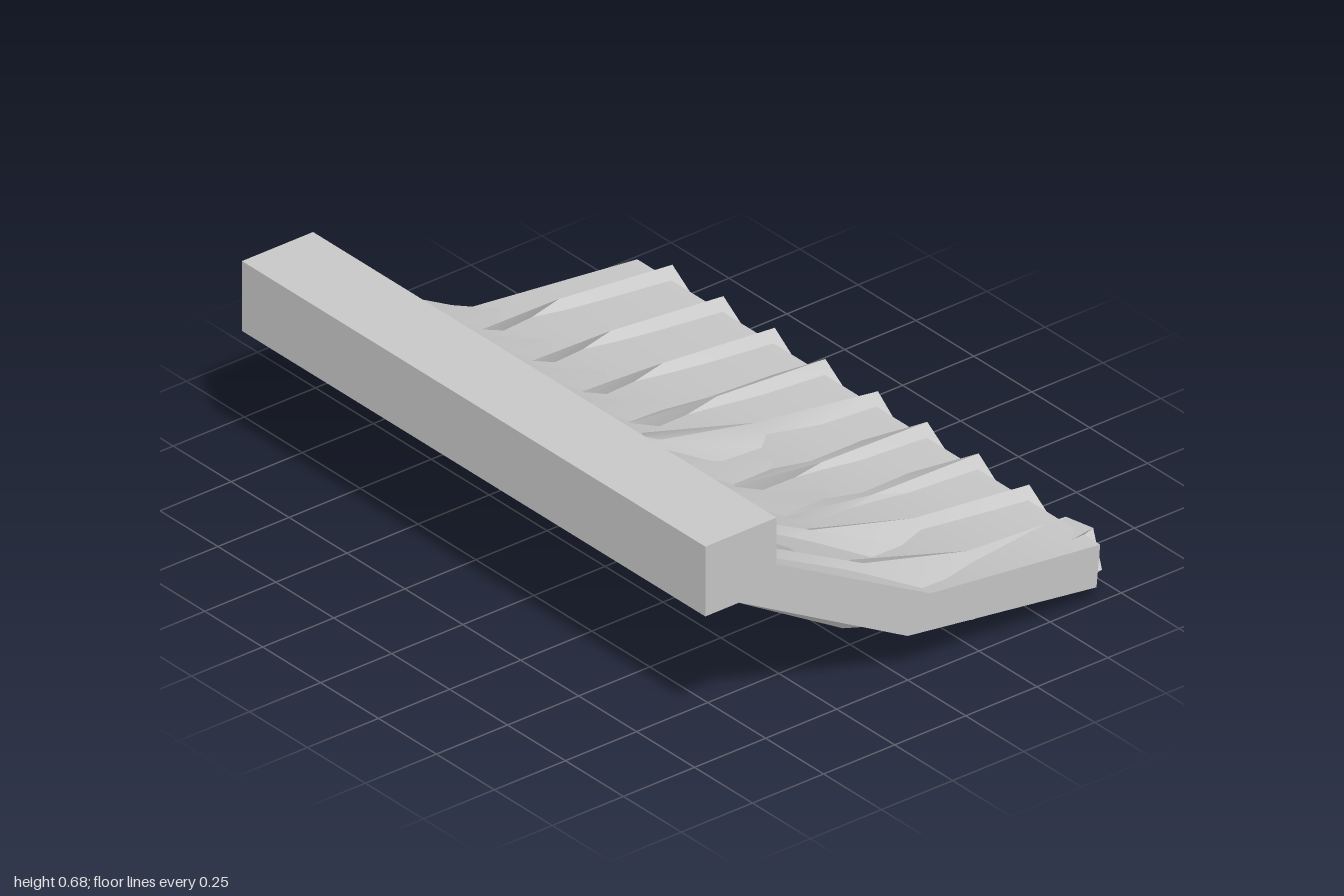
import * as THREE from 'three';
import { toCreasedNormals } from 'three/addons/utils/BufferGeometryUtils.js';

const material = new THREE.MeshStandardMaterial({ color: 0xcccccc, side: THREE.DoubleSide });

function addMesh(parent, name, geometry) {
  const mesh = new THREE.Mesh(geometry, material);
  mesh.name = name;
  parent.add(mesh);
  return mesh;
}

// Log centre line, front to back, as [z, y]
const path = [[0.55, 0.525], [0.12, 0.275], [-0.29, 0.147], [-0.702, 0.105]];

// Five-sided log following the path; each ring is turned by its own angle in degrees
function logGeometry(angles, sides = 5, radius = 0.1) {
  const points = path.map(([z, y]) => new THREE.Vector3(0, y, z));
  const positions = [];
  const indices = [];
  points.forEach((p, j) => {
    const before = points[Math.max(j - 1, 0)];
    const after = points[Math.min(j + 1, points.length - 1)];
    const t = after.clone().sub(before).normalize();
    for (let i = 0; i < sides; i++) {
      const a = THREE.MathUtils.degToRad(angles[j]) + (i / sides) * Math.PI * 2;
      const up = radius * Math.sin(a);
      positions.push(radius * Math.cos(a), p.y - t.z * up, p.z + t.y * up);
    }
  });
  const last = (points.length - 1) * sides;
  for (let j = 0; j < points.length - 1; j++) {
    for (let i = 0; i < sides; i++) {
      const a = j * sides + i;
      const b = j * sides + ((i + 1) % sides);
      indices.push(a, a + sides, b + sides, a, b + sides, b);
    }
  }
  // End caps
  for (let i = 1; i < sides - 1; i++) {
    indices.push(0, i, i + 1, last, last + i + 1, last + i);
  }
  const geometry = new THREE.BufferGeometry();
  geometry.setAttribute('position', new THREE.Float32BufferAttribute(positions, 3));
  geometry.setIndex(indices);
  return toCreasedNormals(geometry, 0.75);
}

export function createModel() {
  const model = new THREE.Group();
  model.name = 'logRamp';

  // Square beam along the front
  const beam = addMesh(model, 'frontBeam', new THREE.BoxGeometry(2, 0.22, 0.25));
  beam.position.set(0, 0.578, 0.587);

  // Bent slab, outlined as [z, y] and extruded across the width
  const outline = [
    [0.59, 0.466], [0, 0.145], [-0.664, 0.055], [-0.677, 0.185],
    [-0.08, 0.25], [0.46, 0.54], [0.52, 0.57], [0.59, 0.57],
  ];
  const shape = new THREE.Shape(outline.map(([z, y]) => new THREE.Vector2(-z, y)));
  const slab = new THREE.ExtrudeGeometry(shape, { depth: 1.998, bevelEnabled: false });
  slab.rotateY(Math.PI / 2).translate(-0.999, 0, 0);
  addMesh(model, 'bentSlab', toCreasedNormals(slab, 0.6));

  // Row of twisted logs running through the slab
  const twists = [
    [-90, -115, -50, -120],
    [-90, -114, -52, -120],
    [-90, -112, -55, -121],
    [-90, -108, -62, -120],
    [-90, -75, -105, -124],
    [-90, -110, -70, -120],
    [-90, -108, -72, -121],
    [-90, -65, -118, -120],
    [-90, -70, -125, -82],
  ];
  const logs = new THREE.Group();
  logs.name = 'logs';
  twists.forEach((angles, i) => {
    addMesh(logs, `log${i + 1}`, logGeometry(angles)).position.x = (i - 4) * 0.22;
  });
  model.add(logs);

  return model;
}
